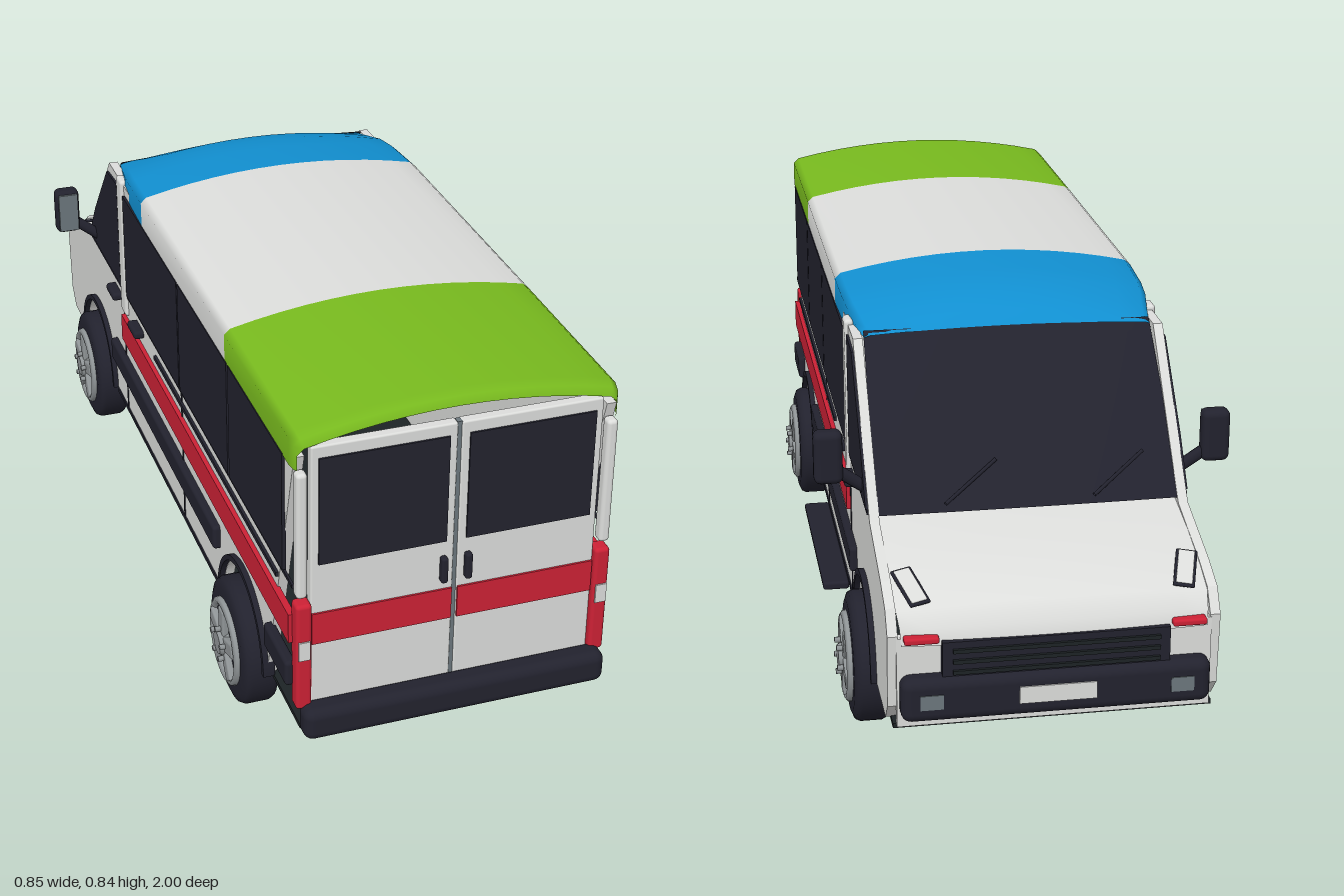
import * as THREE from 'three';
import { RoundedBoxGeometry } from 'three/addons/geometries/RoundedBoxGeometry.js';

const mat = (name, color, side = THREE.FrontSide) => {
  const m = new THREE.MeshStandardMaterial({ color, side });
  m.name = name;
  return m;
};

export function createModel() {
  const D = THREE.DoubleSide;
  const white = mat('white paint', 0xdcdddb, D);
  const dark = mat('dark trim and glass', 0x22222e, D);
  const red = mat('red', 0xcc2135);
  const green = mat('green paint', 0x78ba1e, D);
  const blue = mat('blue paint', 0x118fd0, D);
  const silver = mat('silver', 0x8f9496);
  const grey = mat('mirror grey', 0x6c777c);
  const under = mat('underbody', 0x1d2325);

  const van = new THREE.Group();
  van.name = 'van';
  const add = (name, geo, m, parent = van) => {
    const mesh = new THREE.Mesh(geo, m);
    mesh.name = name;
    parent.add(mesh);
    return mesh;
  };
  // box given by its limits on each axis, optionally rounded
  const box = (name, m, [x0, x1], [y0, y1], [z0, z1], r = 0, parent = van) => {
    const s = [Math.abs(x1 - x0), y1 - y0, z1 - z0];
    const g = r ? new RoundedBoxGeometry(...s, 3, r) : new THREE.BoxGeometry(...s);
    const mesh = add(name, g, m, parent);
    mesh.position.set((x0 + x1) / 2, (y0 + y1) / 2, (z0 + z1) / 2);
    return mesh;
  };
  // smooth skin through rows of points
  const skin = (name, rows, m) => {
    const n = rows[0].length, idx = [];
    for (let r = 0; r < rows.length - 1; r++)
      for (let c = 0; c < n - 1; c++) {
        const a = r * n + c;
        idx.push(a, a + 1, a + n, a + 1, a + n + 1, a + n);
      }
    const g = new THREE.BufferGeometry();
    g.setAttribute('position', new THREE.Float32BufferAttribute(rows.flat(2), 3));
    g.setIndex(idx);
    g.computeVertexNormals();
    return add(name, g, m);
  };
  // (z, y) shape extruded inward from its outer x on either side
  const sidePlate = (name, shape, depth, outer, s, m) => {
    const g = new THREE.ExtrudeGeometry(shape, { depth, bevelEnabled: false, curveSegments: 24 });
    g.rotateY(-Math.PI / 2);
    g.translate(s > 0 ? outer : depth - outer, 0, 0);
    return add(name, g, m);
  };
  const rod = (name, m, a, b, r) => {
    const curve = new THREE.LineCurve3(new THREE.Vector3(...a), new THREE.Vector3(...b));
    return add(name, new THREE.TubeGeometry(curve, 1, r, 8), m);
  };

  // roof cap in three colours: rows are z, crown height, half width, lower edge
  const roofRow = ([z, top, hw, bot]) => {
    const sh = top - Math.min(0.036, (top - bot) * 0.7), row = [[-hw, bot, z], [-hw, Math.max(bot, sh - 0.012), z]];
    for (let i = -6; i <= 6; i++) {
      const t = i / 6;
      row.push([t * hw * 0.96, sh + (top - sh) * (1 - t * t), z]);
    }
    row.push([hw, Math.max(bot, sh - 0.012), z], [hw, bot, z]);
    return row;
  };
  skin('roofRear', [[0.952, 0.815, 0.318, 0.735], [0.945, 0.832, 0.323, 0.735], [0.925, 0.84, 0.326, 0.735], [0.515, 0.842, 0.326, 0.735]].map(roofRow), green);
  skin('roofMiddle', [[0.515, 0.842, 0.326, 0.735], [-0.135, 0.842, 0.326, 0.735]].map(roofRow), white);
  skin('roofFront', [[-0.135, 0.842, 0.326, 0.735], [-0.25, 0.836, 0.323, 0.735], [-0.312, 0.829, 0.318, 0.738],
    [-0.37, 0.815, 0.308, 0.755], [-0.41, 0.795, 0.302, 0.758], [-0.44, 0.77, 0.298, 0.758]].map(roofRow), blue);

  // windscreen and bonnet: rows are z, y, half width, crown, bow
  const crownRow = ([z, y, hw, crown, bow]) => Array.from({ length: 13 }, (_, i) => {
    const t = i / 6 - 1, k = 1 - t * t;
    return [t * hw, y + crown * k, z - bow * k];
  });
  skin('windscreen', [[-0.425, 0.768, 0.298, 0.004, 0.012], [-0.56, 0.622, 0.303, 0.004, 0.012], [-0.69, 0.47, 0.31, 0.004, 0.012]].map(crownRow), dark);
  skin('bonnet', [[-0.67, 0.462, 0.312, 0.006, 0.01], [-0.78, 0.437, 0.311, 0.012, 0], [-0.88, 0.405, 0.308, 0.014, 0.005],
    [-0.935, 0.38, 0.302, 0.01, 0.01], [-0.962, 0.352, 0.298, 0.003, 0.012], [-0.968, 0.32, 0.296, 0, 0.012]].map(crownRow), white);
  for (const x of [-0.24, 0.06])
    rod('wiper', dark, [x, 0.555, -0.637], [x + 0.11, 0.49, -0.697], 0.004);

  // nose
  box('nosePanel', white, [-0.305, 0.305], [0.15, 0.335], [-0.965, -0.945]);
  box('grille', dark, [-0.22, 0.22], [0.25, 0.33], [-0.984, -0.96]);
  for (const y of [0.268, 0.29, 0.312])
    box('grilleBar', under, [-0.2, 0.2], [y - 0.004, y + 0.004], [-0.99, -0.98]);
  box('frontBumper', dark, [-0.3, 0.3], [0.17, 0.26], [-1, -0.94], 0.02);
  box('numberPlate', white, [-0.075, 0.075], [0.2, 0.235], [-1.003, -0.997]);

  // side body panel with open wheel arches
  const panel = new THREE.Shape();
  panel.moveTo(0.945, 0.15);
  for (const z of [0.62, -0.62]) panel.absarc(z, 0.15, 0.15, 0, Math.PI, false);
  [[-0.92, 0.15], [-0.955, 0.19], [-0.965, 0.34], [-0.935, 0.385], [-0.87, 0.412], [-0.7, 0.462], [-0.45, 0.76], [0.945, 0.76]]
    .forEach(p => panel.lineTo(...p));
  const cabGlass = new THREE.Shape([[-0.365, 0.48], [-0.675, 0.48], [-0.605, 0.575], [-0.46, 0.735], [-0.365, 0.742]].map(p => new THREE.Vector2(...p)));
  // flared arch lip
  const lip = new THREE.Shape();
  lip.absarc(0, 0, 0.163, 0, Math.PI, false);
  lip.absarc(0, 0, 0.151, Math.PI, 0, true);

  // tyre and rim profiles: radius, distance outward
  const v = p => new THREE.Vector2(...p);
  const tyreGeo = new THREE.LatheGeometry([[0.001, 0], [0.115, 0], [0.13, 0.006], [0.135, 0.016], [0.135, 0.06], [0.13, 0.07], [0.115, 0.076], [0.09, 0.076]].map(v), 40);
  const rimGeo = new THREE.LatheGeometry([[0.095, 0.07], [0.093, 0.083], [0.086, 0.088], [0.078, 0.082], [0.076, 0.074]].map(v), 40);
  const makeWheel = (name, s, z) => {
    const w = new THREE.Group();
    w.name = name;
    add('tyre', tyreGeo, dark, w);
    add('rim', rimGeo, silver, w);
    add('wheelWell', new THREE.CylinderGeometry(0.082, 0.082, 0.004, 32), dark, w).position.y = 0.075;
    add('hub', new THREE.CylinderGeometry(0.024, 0.036, 0.024, 24), silver, w).position.y = 0.086;
    for (let i = 0; i < 5; i++) {
      const a = i * Math.PI * 2 / 5, arm = new THREE.Group();
      arm.name = 'spoke';
      arm.rotation.y = a;
      box('spokeBar', silver, [0.015, 0.083], [0.074, 0.09], [-0.017, 0.017], 0.005, arm);
      const nut = add('wheelNut', new THREE.CylinderGeometry(0.006, 0.006, 0.012, 8), silver, arm);
      nut.position.set(0.034, 0.096, 0);
      w.add(arm);
    }
    w.rotation.z = -s * Math.PI / 2;
    w.position.set(s * 0.286, 0.135, z);
    van.add(w);
  };

  for (const s of [1, -1]) {
    const X = (a, b) => [s * a, s * b];
    sidePlate('sidePanel', panel, 0.02, 0.322, s, white);
    sidePlate('cabWindow', cabGlass, 0.008, 0.327, s, dark);
    // passenger windows
    for (const [z0, z1] of [[0.54, 0.89], [0.166, 0.53], [-0.305, 0.158]])
      box('sideWindow', dark, X(0.32, 0.328), [0.48, 0.738], [z0, z1]);
    box('doorPillar', white, X(0.31, 0.33), [0.42, 0.77], [-0.358, -0.312], 0.008);
    box('rearPost', white, X(0.3, 0.322), [0.455, 0.73], [0.935, 0.962], 0.008);
    // stripe, rub strips, rails and seams
    box('sideStripe', red, X(0.318, 0.332), [0.345, 0.41], [-0.35, 0.94]);
    for (const [z0, z1] of [[0.795, 0.94], [-0.45, 0.445]])
      box('rubStrip', dark, X(0.315, 0.338), [0.242, 0.298], [z0, z1], 0.008);
    box('slideRail', dark, X(0.32, 0.328), [0.438, 0.448], [-0.06, 0.85]);
    box('beltLine', dark, X(0.32, 0.325), [0.47, 0.478], [-0.68, 0.94]);
    for (const z of [0.16, -0.352])
      box('doorSeam', dark, X(0.32, 0.324), [0.15, 0.48], [z - 0.003, z + 0.003]);
    for (const z of [-0.205, -0.41])
      box('doorHandle', dark, X(0.318, 0.345), [0.432, 0.452], [z - 0.035, z + 0.035], 0.008);
    box('sill', dark, X(0.31, 0.325), [0.142, 0.152], [-0.45, 0.45]);
    // wheels and arches
    for (const [z, n] of [[-0.62, 'frontWheel'], [0.62, 'rearWheel']]) {
      makeWheel(n, s, z);
      sidePlate('archLip', lip, 0.025, 0.334, s, dark).position.set(0, 0.15, z);
    }
    // door mirror
    box('mirrorShell', dark, X(0.365, 0.423), [0.52, 0.63], [-0.64, -0.6], 0.014);
    box('mirrorGlass', grey, X(0.371, 0.417), [0.528, 0.622], [-0.602, -0.596]);
    rod('mirrorArm', dark, [s * 0.318, 0.5, -0.61], [s * 0.378, 0.545, -0.62], 0.013);
    // head lamp and marker on the bonnet corner
    const lamp = new THREE.Group();
    lamp.name = 'headLamp';
    box('lampRim', dark, [-0.021, 0.021], [-0.004, 0.003], [-0.05, 0.05], 0.003, lamp);
    box('lampLens', white, [-0.016, 0.016], [0, 0.006], [-0.045, 0.045], 0.002, lamp);
    lamp.position.set(s * 0.268, 0.409, -0.895);
    lamp.rotation.set(-0.36, s * 0.28, 0);
    van.add(lamp);
    box('frontMarker', red, X(0.225, 0.292), [0.328, 0.342], [-0.985, -0.96], 0.005);
    box('fogLamp', grey, X(0.22, 0.265), [0.2, 0.23], [-1.002, -0.996]);
    // tail lamp
    box('tailLamp', red, X(0.292, 0.324), [0.2, 0.442], [0.93, 0.966], 0.008);
    box('reverseLamp', white, X(0.297, 0.32), [0.318, 0.36], [0.96, 0.969]);
    // rear door
    box('rearDoor', white, X(0.004, 0.292), [0.16, 0.78], [0.93, 0.953], 0.004);
    box('rearWindow', dark, X(0.02, 0.277), [0.523, 0.755], [0.95, 0.957]);
    box('rearStripe', red, X(0.006, 0.29), [0.343, 0.413], [0.95, 0.957]);
    box('rearHandle', dark, X(0.018, 0.032), [0.433, 0.49], [0.95, 0.968], 0.005);
  }
  box('rearDoorSeam', grey, [-0.005, 0.005], [0.2, 0.78], [0.935, 0.95]);
  box('rearBumper', dark, [-0.316, 0.316], [0.142, 0.212], [0.945, 1], 0.02);
  box('floor', under, [-0.312, 0.312], [0.143, 0.153], [-0.955, 0.95]);
  // boarding step on one side only
  box('sideStep', dark, [0.325, 0.382], [0.134, 0.152], [-0.3, 0.16], 0.006);
  box('stepBracket', under, [0.29, 0.335], [0.137, 0.147], [-0.25, 0.11]);

  return van;
}
